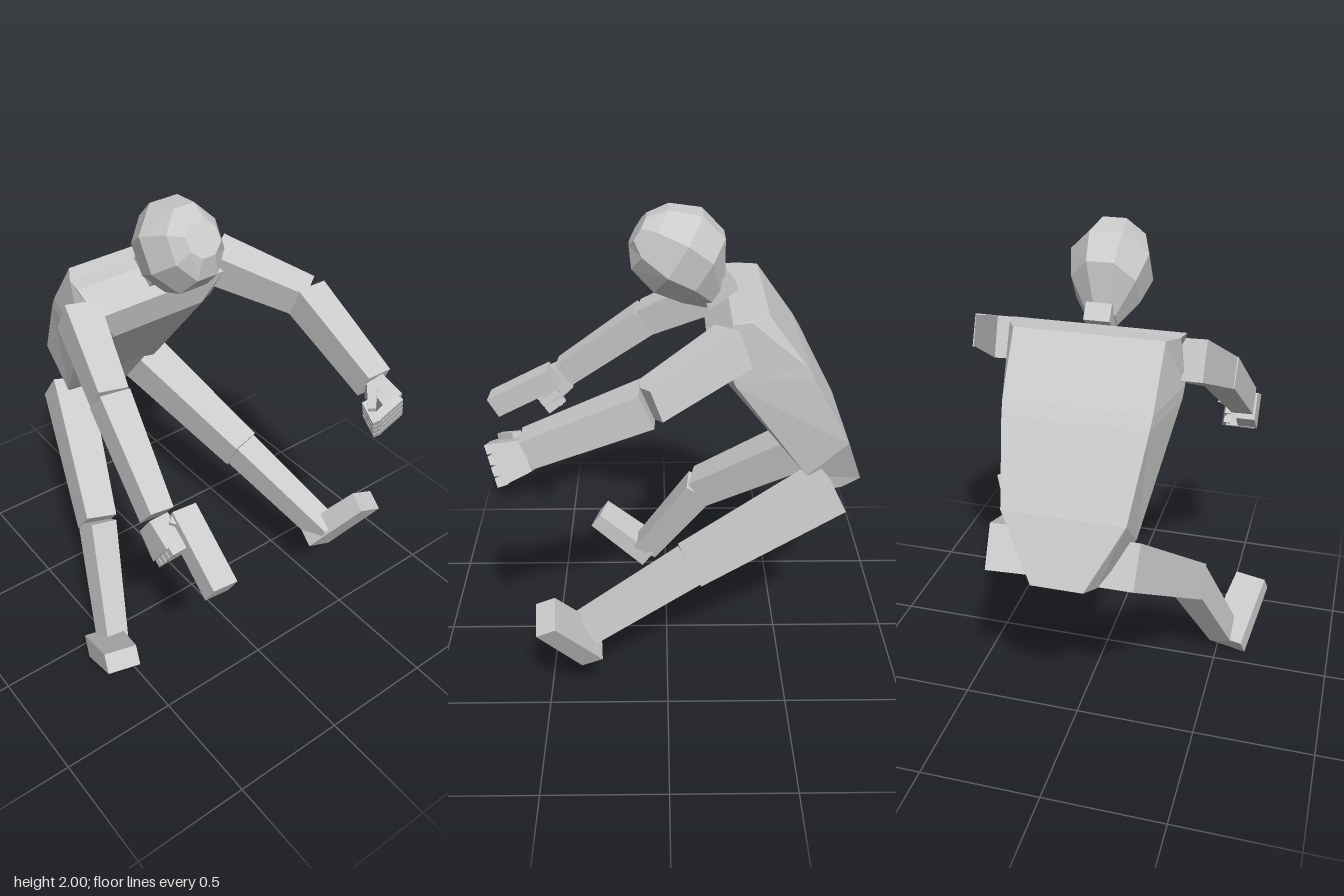
import * as THREE from 'three';

const mat = new THREE.MeshStandardMaterial({ color: 0xcccccc, flatShading: true });
const V = (x, y, z) => new THREE.Vector3(x, y, z);
const CX = -0.03; // body centre line

// Tapered box from a to b; sizes are [across, deep] at each end
function bar(name, a, b, sizeA, sizeB = sizeA, ref = V(1, 0, 0)) {
  const dir = b.clone().sub(a).normalize();
  const side = ref.clone().addScaledVector(dir, -ref.dot(dir)).normalize();
  const up = side.clone().cross(dir);
  const geo = new THREE.BoxGeometry(1, 1, 1);
  const pos = geo.attributes.position;
  for (let i = 0; i < pos.count; i++) {
    const atB = pos.getY(i) > 0;
    const size = atB ? sizeB : sizeA;
    const p = (atB ? b : a).clone()
      .addScaledVector(side, pos.getX(i) * size[0])
      .addScaledVector(up, pos.getZ(i) * size[1]);
    pos.setXYZ(i, p.x, p.y, p.z);
  }
  geo.computeVertexNormals();
  const mesh = new THREE.Mesh(geo, mat);
  mesh.name = name;
  return mesh;
}

// Faceted skin over rings of points, closed at both ends
function loft(name, rings) {
  const out = [];
  const tri = (...pts) => pts.forEach((p) => out.push(p.x, p.y, p.z));
  const n = rings[0].length;
  for (let i = 0; i < rings.length - 1; i++) {
    for (let j = 0; j < n; j++) {
      const k = (j + 1) % n;
      const [a, b, c, d] = [rings[i][j], rings[i][k], rings[i + 1][k], rings[i + 1][j]];
      tri(a, d, c);
      tri(a, c, b);
    }
  }
  const top = rings[0], end = rings[rings.length - 1];
  for (let j = 1; j < n - 1; j++) {
    tri(top[0], top[j], top[j + 1]);
    tri(end[0], end[j + 1], end[j]);
  }
  const geo = new THREE.BufferGeometry();
  geo.setAttribute('position', new THREE.Float32BufferAttribute(out, 3));
  geo.computeVertexNormals();
  const mesh = new THREE.Mesh(geo, mat);
  mesh.name = name;
  return mesh;
}

function torso() {
  // front, side and back corner of each level: half width, y, z
  const levels = [
    [[0.335, 1.655, -0.24], [0.325, 1.66, -0.31], [0.285, 1.67, -0.38]],
    [[0.305, 1.56, -0.15], [0.335, 1.45, -0.24], [0.28, 1.45, -0.54]],
    [[0.215, 1.43, -0.18], [0.33, 1.4, -0.26], [0.275, 1.4, -0.57]],
    [[0.155, 1.02, -0.51], [0.235, 0.95, -0.57], [0.235, 1.1, -0.73]],
    [[0.125, 0.81, -0.66], [0.13, 0.83, -0.74], [0.1, 0.855, -0.82]],
  ];
  return loft('torso', levels.map((l) => [
    ...l.map(([w, y, z]) => V(CX + w, y, z)),
    ...[...l].reverse().map(([w, y, z]) => V(CX - w, y, z)),
  ]));
}

function head() {
  // rings along the tilted head axis: distance, half width, offset, half depth
  const axis = V(0, 0.53, 0.85), across = V(0, 0.85, -0.53);
  const rings = [
    [0.195, 0.075, 0, 0.07],
    [0.14, 0.12, 0, 0.148],
    [0.02, 0.165, 0.01, 0.19],
    [-0.1, 0.135, 0.005, 0.165],
    [-0.195, 0.06, -0.055, 0.075],
  ];
  return loft('head', rings.map(([t, w, off, d]) => Array.from({ length: 8 }, (_, i) => {
    const a = ((i + 0.5) / 8) * Math.PI * 2;
    return V(CX + Math.cos(a) * w, 1.808, -0.055)
      .addScaledVector(axis, t)
      .addScaledVector(across, off + Math.sin(a) * d);
  })));
}

// Closed fist: f points forward, s runs along the knuckles, inward is the curl side
function fist(name, wrist, f, s, inward) {
  const g = new THREE.Group();
  g.name = name;
  f.normalize();
  s.normalize();
  const at = (x, y, z) => wrist.clone()
    .addScaledVector(inward, x).addScaledVector(f, y).addScaledVector(s, z);
  g.add(bar('palm', at(0, 0, 0), at(0, 0.12, 0), [0.08, 0.12], [0.09, 0.16], inward));
  for (let i = 0; i < 4; i++) {
    const z = (i - 1.5) * 0.042;
    g.add(bar('fingerBase', at(-0.035, 0.13, z), at(0.1, 0.13, z), [0.036, 0.04], [0.034, 0.034], s));
    g.add(bar('fingerTip', at(0.1, 0.145, z), at(0.085, 0.05, z), [0.034, 0.035], [0.03, 0.03], s));
  }
  g.add(bar('thumb', at(0.03, 0.03, -0.07), at(0.09, 0.1, -0.085), [0.04, 0.04], [0.03, 0.03], s));
  return g;
}

// Two bars joined at a bend
function limb(names, root, bend, tip, sizes) {
  const g = new THREE.Group();
  g.name = names[0] + 'Limb';
  g.add(bar(names[0], root, bend, sizes[0], sizes[1]));
  g.add(bar(names[1], bend, tip, sizes[2], sizes[3]));
  return g;
}

export function createModel() {
  const model = new THREE.Group();
  model.name = 'figure';
  model.add(torso(), head());
  model.add(bar('neck', V(CX, 1.71, -0.255), V(CX, 1.63, -0.15), [0.1, 0.07]));

  // Arms
  model.add(limb(['leftUpperArm', 'leftForearm'],
    V(0.3, 1.57, -0.245), V(0.535, 1.455, 0.075), V(0.525, 1.27, 0.51),
    [[0.15, 0.16], [0.125, 0.13], [0.14, 0.14], [0.115, 0.12]]));
  model.add(limb(['rightUpperArm', 'rightForearm'],
    V(-0.37, 1.55, -0.24), V(-0.45, 1.375, 0.09), V(-0.505, 1.09, 0.46),
    [[0.14, 0.16], [0.12, 0.13], [0.125, 0.13], [0.095, 0.12]]));

  // Hands, the right one holding a plain block-shaped tool
  model.add(fist('leftHand', V(0.53, 1.25, 0.505),
    V(-0.05, -0.35, 0.93), V(0.45, -0.85, -0.3), V(-0.92, -0.38, 0)));
  model.add(fist('rightHand', V(-0.52, 1.065, 0.46),
    V(0, -0.55, 0.83), V(0, -0.83, -0.55), V(1, 0, 0)));
  model.add(bar('toolBarrel', V(-0.435, 1.1, 0.51), V(-0.462, 0.945, 0.79), [0.1, 0.1]));
  model.add(bar('toolGrip', V(-0.445, 1.06, 0.56), V(-0.455, 0.94, 0.5), [0.05, 0.06]));

  // Legs
  const legSizes = [[0.17, 0.18], [0.135, 0.15], [0.12, 0.14], [0.1, 0.12]];
  model.add(limb(['leftThigh', 'leftShin'],
    V(0.2, 0.895, -0.67), V(0.355, 0.615, -0.09), V(0.49, 0.37, 0.38), legSizes));
  model.add(limb(['rightThigh', 'rightShin'],
    V(-0.215, 0.895, -0.67), V(-0.4, 0.525, -0.165), V(-0.52, 0.095, 0.1), legSizes));

  // Feet
  model.add(bar('leftFoot', V(0.48, 0.3, 0.315), V(0.615, 0.56, 0.48),
    [0.15, 0.1], [0.14, 0.09], V(0.95, -0.33, 0)));
  model.add(bar('rightFoot', V(-0.545, 0.045, 0.07), V(-0.615, 0.23, 0.335),
    [0.16, 0.1], [0.14, 0.085], V(1, -0.05, 0.2)));
  return model;
}
